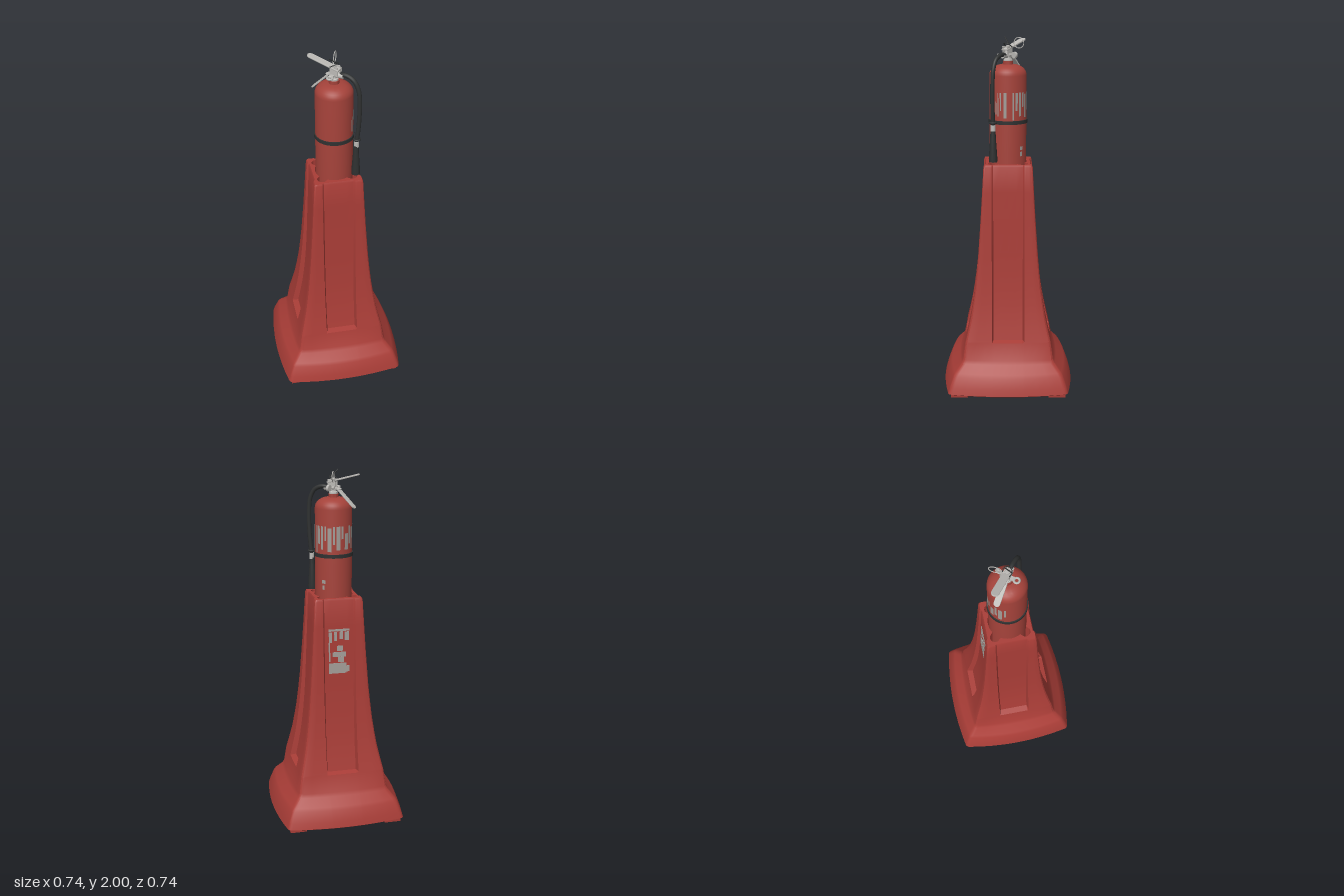
import * as THREE from 'three';
import { toCreasedNormals } from 'three/addons/utils/BufferGeometryUtils.js';

const mat = (name, color) => {
  const m = new THREE.MeshStandardMaterial({ color });
  m.name = name;
  return m;
};

export function createModel() {
  const red = mat('stand red', 0xa93d37);
  const tankRed = mat('tank red', 0xa4423a);
  const silver = mat('silver', 0xbcbab6);
  const black = mat('black rubber', 0x2f3131);
  const grey = mat('label grey', 0xa29d98);
  const root = new THREE.Group();
  root.name = 'extinguisherStand';

  const add = (name, geo, material, pos = [0, 0, 0], parent = root) => {
    const m = new THREE.Mesh(geo, material);
    m.name = name;
    m.position.set(...pos);
    parent.add(m);
    return m;
  };
  const lathe = (pts, seg = 40) => toCreasedNormals(
    new THREE.LatheGeometry(pts.map(p => new THREE.Vector2(...p)), seg), 0.6);
  const interp = (table, y) => {
    for (let i = 1; i < table.length; i++) {
      const [a, b] = [table[i - 1], table[i]];
      if (y <= b[0]) return THREE.MathUtils.lerp(a[1], b[1], Math.max(0, (y - a[0]) / (b[0] - a[0])));
    }
    return table.at(-1)[1];
  };

  // Stand: rows of [y, half width at mid side, side bulge, corner radius]
  const rows = [
    [0.015, 0.355, 0.03, 0.02], [0.025, 0.371, 0.03, 0.025], [0.06, 0.362, 0.03, 0.025],
    [0.12, 0.34, 0.028, 0.025], [0.137, 0.328, 0.026, 0.025], [0.18, 0.283, 0.016, 0.025],
    [0.2, 0.27, 0.012, 0.025], [0.296, 0.244, 0, 0.02], [0.304, 0.242, 0, 0.02],
    [0.36, 0.229, 0, 0.02], [0.44, 0.212, 0, 0.02], [0.52, 0.199, 0, 0.018],
    [0.6, 0.188, 0, 0.018], [0.7, 0.177, 0, 0.016], [0.8, 0.168, 0, 0.015],
    [1.0, 0.154, 0, 0.012], [1.15, 0.145, 0, 0.01], [1.292, 0.137, 0, 0.01], [1.303, 0.132, 0, 0.01],
  ];
  const depthTable = [[0.3, 0.032], [0.6, 0.025], [1.0, 0.013], [1.3, 0.008]];
  const recess = y => (y < 0.3 ? 0 : interp(depthTable, y));

  // One closed cross-section: four identical sides with a recessed panel
  const ring = ([y, w, b, r]) => {
    const half = w - b, e = half - r, pts = [];
    const right = [0, 0.045, 0.083, 0.092];
    for (const t of [0.33, 0.67, 1]) right.push(THREE.MathUtils.lerp(0.092, e, t));
    const us = [...right.slice(1).reverse().map(u => -u), ...right];
    for (let s = 0; s < 4; s++) {
      const c = Math.cos(s * Math.PI / 2), n = Math.sin(s * Math.PI / 2);
      const put = (x, z) => pts.push([x * c + z * n, -x * n + z * c]);
      for (const u of us) {
        put(u, half + b * (1 - (u / e) ** 2) - (Math.abs(u) < 0.09 ? recess(y) : 0));
      }
      for (const a of [Math.PI / 6, Math.PI / 3]) put(e + r * Math.sin(a), e + r * Math.cos(a));
    }
    return pts;
  };
  const rings = rows.map(ring), N = rings[0].length;
  const verts = [], idx = [];
  rings.forEach((p, i) => p.forEach(([x, z], j) => {
    verts.push(x, rows[i][0], z);
    if (i + 1 < rings.length) {
      const k = (j + 1) % N, a = i * N + j, b = i * N + k;
      idx.push(a, b, b + N, a, b + N, a + N);
    }
  }));
  const shell = new THREE.BufferGeometry();
  shell.setAttribute('position', new THREE.Float32BufferAttribute(verts, 3));
  shell.setIndex(idx);
  add('standBody', toCreasedNormals(shell, 0.5), red);

  // Underside and corner feet
  const outline = pts => new THREE.Shape(pts.map(([x, z]) => new THREE.Vector2(x, -z)));
  const under = outline(rings[0].map(([x, z]) => [x, -z]));
  add('standUnderside', new THREE.ShapeGeometry(under).rotateX(Math.PI / 2), red, [0, 0.015, 0]);
  for (const x of [-1, 1]) for (const z of [-1, 1]) {
    add('foot', new THREE.BoxGeometry(0.095, 0.02, 0.095), red, [x * 0.277, 0.01, z * 0.277]);
  }

  // Rim and pocket: round opening with a small lobe at each corner
  const rim = outline(rings.at(-1));
  const hole = [];
  for (let i = 0; i < 96; i++) {
    const a = i / 96 * Math.PI * 2;
    const off = (a % (Math.PI / 2)) - Math.PI / 4;
    const D = 0.117, R = 0.029, q = R * R - (D * Math.sin(off)) ** 2;
    const rad = Math.max(0.107, q > 0 ? D * Math.cos(off) + Math.sqrt(q) : 0);
    hole.push(new THREE.Vector2(Math.cos(a) * rad, Math.sin(a) * rad));
  }
  rim.holes.push(new THREE.Path(hole));
  add('rimAndPocket', new THREE.ExtrudeGeometry(rim, { depth: 0.3, bevelEnabled: false })
    .rotateX(-Math.PI / 2), red, [0, 1.003, 0]);
  add('pocketFloor', new THREE.BoxGeometry(0.24, 0.01, 0.24), red, [0, 1.005, 0]);

  // Sign patches on the back panel: [x, y, width, height]
  const patches = [
    [0, 1.125, 0.12, 0.012], [-0.045, 1.09, 0.025, 0.05], [-0.012, 1.095, 0.02, 0.045],
    [0.02, 1.09, 0.016, 0.05], [0.05, 1.085, 0.018, 0.06], [0.056, 1.0, 0.008, 0.11],
    [-0.005, 1.02, 0.035, 0.03], [0, 0.985, 0.075, 0.028], [-0.01, 0.955, 0.035, 0.03],
    [0.01, 0.905, 0.1, 0.06], [-0.05, 0.9, 0.016, 0.035],
  ];
  for (const [x, y, w, h] of patches) {
    const z = interp(rows.map(r => [r[0], r[1]]), y) - recess(y) + 0.001;
    add('signPatch', new THREE.BoxGeometry(w, h, 0.003), grey, [x, y, -z]).rotation.x = 0.05;
  }

  // Extinguisher tank
  const R = 0.103;
  const tank = [[0, 1.01], [R, 1.01], [R, 1.79]];
  for (let i = 1; i <= 8; i++) {
    const a = i / 8 * Math.PI / 2;
    tank.push([0.028 + (R - 0.028) * Math.cos(a), 1.79 + 0.058 * Math.sin(a)]);
  }
  tank.push([0.028, 1.866], [0, 1.866]);
  add('tank', lathe(tank, 48), tankRed);

  // Worn tank label: [angle, angular width, bottom, top]
  const strips = [
    [0.85, 0.05, 1.58, 1.65], [0.98, 0.05, 1.57, 1.7], [1.12, 0.06, 1.6, 1.7],
    [1.33, 0.17, 1.56, 1.7], [1.8, 0.1, 1.55, 1.7], [1.98, 0.13, 1.6, 1.7],
    [2.2, 0.12, 1.57, 1.7], [2.42, 0.1, 1.62, 1.7], [2.6, 0.2, 1.56, 1.69],
    [2.9, 0.1, 1.6, 1.7], [3.08, 0.2, 1.57, 1.7], [3.36, 0.12, 1.63, 1.7],
    [3.55, 0.22, 1.57, 1.66], [3.84, 0.14, 1.6, 1.7], [4.05, 0.2, 1.57, 1.69],
    [4.35, 0.12, 1.61, 1.7], [2.25, 0.22, 1.38, 1.4], [2.28, 0.14, 1.345, 1.37],
  ];
  for (const [a, w, y0, y1] of strips) {
    add('labelStrip', new THREE.CylinderGeometry(R + 0.001, R + 0.001, y1 - y0, 5, 1, true, a, w),
      grey, [0, (y0 + y1) / 2, 0]);
  }

  // Strap, hose and nozzle
  add('strap', lathe([[R, -0.01], [R + 0.006, -0.01], [R + 0.006, 0.01], [R, 0.01]], 48), black, [0, 1.535, 0]);
  const clip = add('hoseClip', new THREE.TorusGeometry(0.016, 0.006, 8, 20), black, [0.108, 1.537, 0.083]);
  clip.rotation.x = Math.PI / 2;
  const path = new THREE.CatmullRomCurve3([
    [0.015, 1.895, 0.01], [0.055, 1.903, 0.037], [0.092, 1.882, 0.065], [0.114, 1.83, 0.08],
    [0.12, 1.74, 0.085], [0.116, 1.62, 0.085], [0.107, 1.52, 0.083],
  ].map(p => new THREE.Vector3(...p)));
  add('hose', new THREE.TubeGeometry(path, 48, 0.012, 12), black);
  add('hoseFerrule', new THREE.CylinderGeometry(0.014, 0.014, 0.035, 16), silver, [0.106, 1.508, 0.083]);
  add('nozzle', lathe([[0, 0.18], [0.014, 0.18], [0.017, 0.12], [0.024, 0.02], [0.023, 0], [0.017, 0], [0.012, 0.06], [0, 0.06]].reverse(), 20),
    black, [0.104, 1.318, 0.083]);

  // Valve head, turned so that the levers point to the back right corner
  const head = new THREE.Group();
  head.name = 'valveHead';
  head.rotation.y = -0.64;
  root.add(head);
  add('valveBody', lathe([[0, 1.86], [0.024, 1.86], [0.024, 1.875], [0.017, 1.88], [0.017, 1.925], [0.012, 1.935], [0.012, 1.95], [0, 1.95]], 20),
    silver, [0, 0, 0], head);
  const outlet = add('hoseOutlet', new THREE.CylinderGeometry(0.014, 0.014, 0.045, 16), silver, [0.03, 1.896, 0], head);
  outlet.rotation.z = Math.PI / 2;
  // Rounded lever plate reaching from one point to another
  const lever = (name, [x0, y0], [x1, y1], w) => {
    const L = Math.hypot(x1 - x0, y1 - y0), s = new THREE.Shape();
    s.moveTo(0, -w / 2).lineTo(L - w / 2, -w / 2);
    s.absarc(L - w / 2, 0, w / 2, -Math.PI / 2, Math.PI / 2).lineTo(0, w / 2);
    const g = new THREE.ExtrudeGeometry(s, { depth: 0.005, bevelSize: 0.002, bevelThickness: 0.002, bevelSegments: 2 });
    g.rotateX(-Math.PI / 2);
    add(name, g, silver, [x0, y0, 0], head).rotation.z = Math.atan2(y1 - y0, x1 - x0);
  };
  lever('upperLever', [0.03, 1.93], [-0.15, 1.98], 0.036);
  lever('lowerHandleRoot', [0.02, 1.907], [-0.045, 1.893], 0.028);
  lever('lowerHandle', [-0.025, 1.9], [-0.13, 1.795], 0.03);
  for (const z of [-0.016, 0.016]) {
    add('leverCheek', new THREE.BoxGeometry(0.045, 0.05, 0.004), silver, [0.005, 1.92, z], head);
  }

  // Gauge, lug, pull ring and locking pin
  const gauge = add('gauge', new THREE.CylinderGeometry(0.018, 0.018, 0.014, 24), silver, [0.034, 1.9, -0.036]);
  gauge.rotation.set(Math.PI / 2, 0, -0.75);
  const stem = add('gaugeStem', new THREE.CylinderGeometry(0.008, 0.008, 0.04, 12), silver, [0.016, 1.9, -0.018]);
  stem.rotation.set(Math.PI / 2, 0, -0.75);
  const lug = add('bracketLug', new THREE.TorusGeometry(0.014, 0.006, 8, 24), silver, [-0.031, 1.897, 0.041]);
  lug.rotation.x = Math.PI / 2;
  const arm = add('lugArm', new THREE.BoxGeometry(0.022, 0.01, 0.03), silver, [-0.014, 1.897, 0.018]);
  arm.rotation.y = -0.65;
  const pull = add('pullRing', new THREE.TorusGeometry(0.029, 0.0025, 8, 32), silver, [0.016, 1.965, -0.06]);
  pull.rotation.y = 1.15;
  const pin = add('lockingPin', new THREE.CylinderGeometry(0.003, 0.003, 0.08, 8), silver, [0.002, 1.945, -0.008]);
  pin.rotation.x = Math.PI / 2;
  const tie = add('safetyTie', new THREE.TorusGeometry(0.025, 0.0025, 6, 24), black, [0, 1.95, 0.0]);
  tie.rotation.set(1.1, 0.35, 0);
  const tail = add('tieTail', new THREE.CylinderGeometry(0.003, 0.003, 0.065, 8), black, [-0.006, 1.975, 0.006]);
  tail.rotation.set(0.5, 0, 0.8);

  return root;
}
